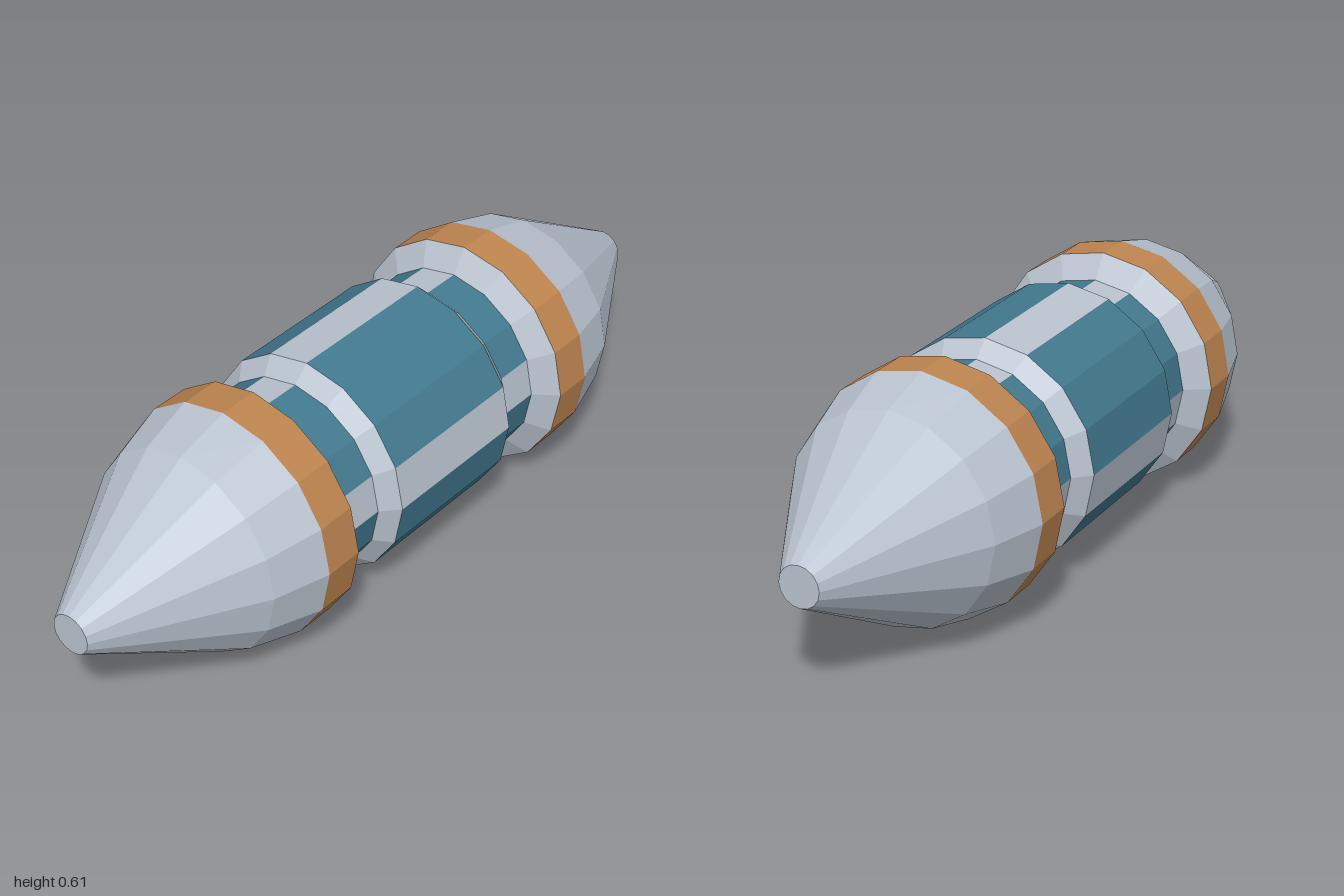
import * as THREE from 'three';

const SIDES = 16;
const AXIS_Y = 0.305;

export function createModel() {
  const mat = (name, color) => {
    const m = new THREE.MeshStandardMaterial({ color });
    m.name = name;
    return m;
  };
  const steel = mat('lightSteel', 0xb9c3cf);
  const copper = mat('copper', 0xbe8550);
  const teal = mat('teal', 0x437a8f);

  const model = new THREE.Group();
  model.name = 'spindleCapsule';

  const add = (parent, name, geometry, material) => {
    const mesh = new THREE.Mesh(geometry, material);
    mesh.name = name;
    parent.add(mesh);
  };

  // open faceted band along z, from [zBack, rBack] to [zFront, rFront]
  const band = ([z0, r0], [z1, r1]) => {
    const indexed = new THREE.CylinderGeometry(r1, r0, z1 - z0, SIDES, 1, true);
    indexed.rotateX(Math.PI / 2).translate(0, AXIS_Y, (z0 + z1) / 2);
    const g = indexed.toNonIndexed();
    g.computeVertexNormals();
    g.clearGroups();
    return g;
  };

  // teal band with every fourth facet in steel
  const stripedBand = (a, b) => {
    const g = band(a, b);
    for (let i = 0; i < SIDES; i++) g.addGroup(i * 6, 6, i % 4 === 0 ? 1 : 0);
    return g;
  };

  // wide middle barrel
  add(model, 'barrel', stripedBand([-0.205, 0.285], [0.205, 0.285]), [teal, steel]);

  // each end, from the barrel outwards: [name, z, radius] at the outer edge
  const profile = [
    ['barrelChamfer', 0.246, 0.246, steel],
    ['neck', 0.348, 0.246, null],
    ['collarChamfer', 0.388, 0.305, steel],
    ['copperCollar', 0.49, 0.305, copper],
    ['noseShoulder', 0.632, 0.265, steel],
    ['noseCone', 1, 0.051, steel],
  ];
  for (const side of [1, -1]) {
    const end = new THREE.Group();
    end.name = side > 0 ? 'frontEnd' : 'backEnd';
    model.add(end);

    let inner = [0.205, 0.285];
    for (const [name, z, r, material] of profile) {
      const outer = [z, r];
      const pair = side > 0
        ? [inner, outer]
        : [[-outer[0], outer[1]], [-inner[0], inner[1]]];
      if (material) add(end, name, band(...pair), material);
      else add(end, name, stripedBand(...pair), [teal, steel]);
      inner = outer;
    }

    // flat disc closing the nose
    const tip = new THREE.CircleGeometry(0.051, SIDES);
    if (side < 0) tip.rotateY(Math.PI);
    tip.translate(0, AXIS_Y, side);
    add(end, 'noseTip', tip, steel);
  }

  return model;
}
